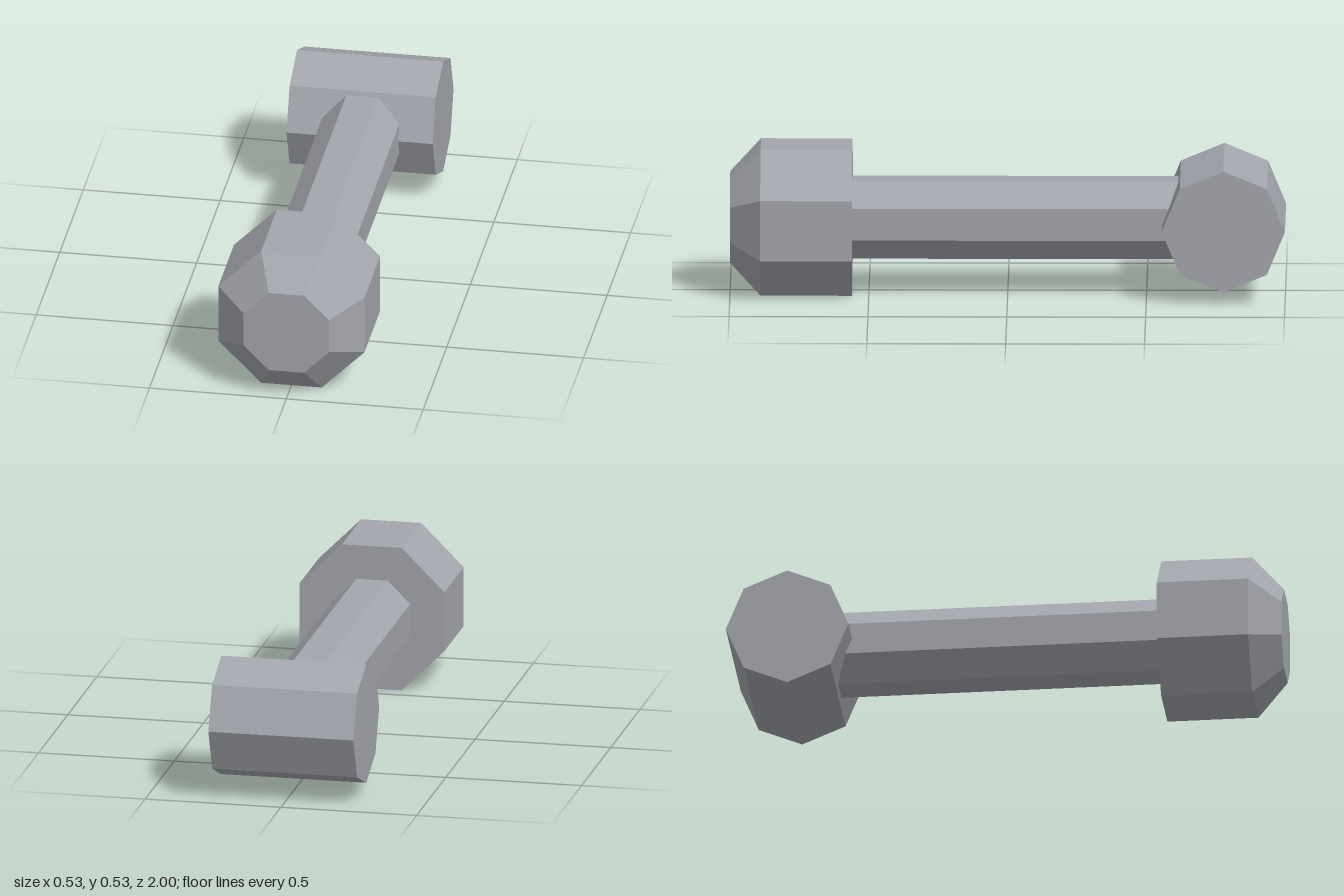
import * as THREE from 'three';

const AXIS_Y = 0.267; // height of the centre line
const SIDES = 8;
const HALF_STEP = Math.PI / SIDES; // turns an octagon so it rests on a flat side
const circumradius = (apothem) => apothem / Math.cos(HALF_STEP);

export function createModel() {
  const model = new THREE.Group();
  model.name = 'boltWithCrossPin';

  const steel = new THREE.MeshStandardMaterial({ color: 0xa3a6ad, flatShading: true });
  steel.name = 'steelGrey';

  const add = (name, geometry, z) => {
    const mesh = new THREE.Mesh(geometry, steel);
    mesh.name = name;
    mesh.position.set(0, AXIS_Y, z);
    model.add(mesh);
  };

  // Octagonal head with a chamfered front
  const headProfile = [
    [0, 0.56], [0.267, 0.56], [0.267, 0.89], [0.156, 1], [0, 1],
  ].map(([apothem, z]) => new THREE.Vector2(circumradius(apothem), z));
  add('head', new THREE.LatheGeometry(headProfile, SIDES, HALF_STEP).rotateX(Math.PI / 2), 0);

  // Octagonal shaft running from the head into the cross pin
  const shaftBack = -0.75, shaftFront = 0.565;
  const shaftRadius = circumradius(0.141);
  const shaft = new THREE.CylinderGeometry(
    shaftRadius, shaftRadius, shaftFront - shaftBack, SIDES, 1, false, HALF_STEP);
  add('shaft', shaft.rotateX(Math.PI / 2), (shaftFront + shaftBack) / 2);

  // Cross pin at the back, lying along x with corners facing front, back, up and down
  const pin = new THREE.CylinderGeometry(0.222, 0.222, 0.534, SIDES);
  add('crossPin', pin.rotateZ(Math.PI / 2), -0.778);

  return model;
}
